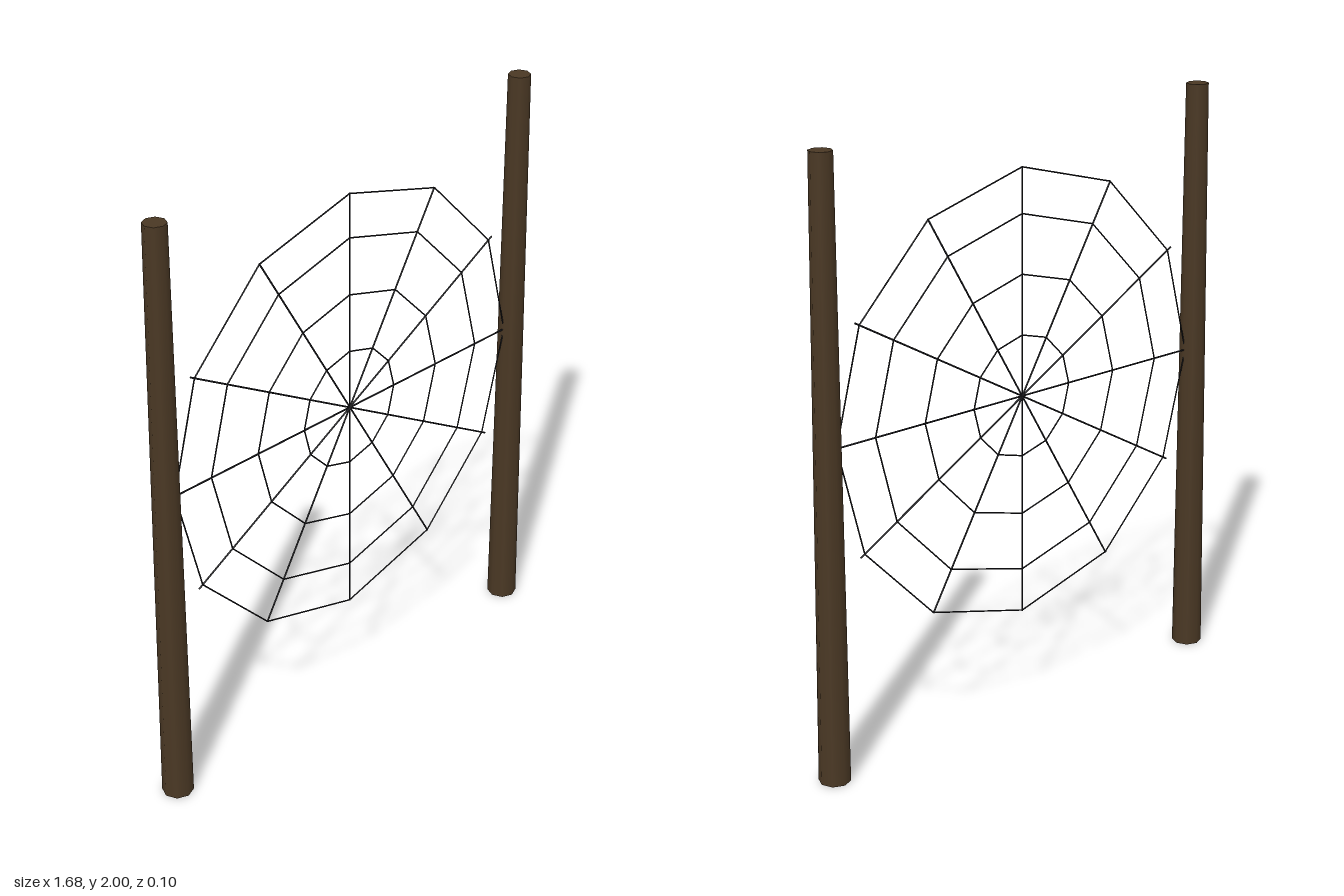
import * as THREE from 'three';

const UP = new THREE.Vector3(0, 1, 0);
const CENTRE_Y = 1.09;
const RINGS = [0.203, 0.402, 0.597, 0.745];

// Thin or thick round bar between two points
function bar(name, a, b, r0, r1, sides, material) {
  const dir = b.clone().sub(a);
  const mesh = new THREE.Mesh(new THREE.CylinderGeometry(r1, r0, dir.length(), sides), material);
  mesh.position.copy(a).add(b).multiplyScalar(0.5);
  mesh.quaternion.setFromUnitVectors(UP, dir.normalize());
  mesh.name = name;
  return mesh;
}

// Point on the web; the diagonal spokes lean slightly towards the horizontal
function webPoint(i, radius) {
  const deg = (i % 3 === 0 ? 0 : 0.6);
  const quadrantSide = Math.sign(Math.sin((i * Math.PI) / 3));
  const a = THREE.MathUtils.degToRad(i * 30 - deg * quadrantSide);
  return new THREE.Vector3(Math.cos(a) * radius, CENTRE_Y + Math.sin(a) * radius, 0);
}

export function createModel() {
  const model = new THREE.Group();
  model.name = 'webBetweenPosts';
  const wood = new THREE.MeshStandardMaterial({ color: 0x4a3824 });
  const silk = new THREE.MeshStandardMaterial({ color: 0x1c1c20 });

  // Tapered posts leaning slightly inwards
  for (const s of [-1, 1]) {
    model.add(bar(s > 0 ? 'leftPost' : 'rightPost',
      new THREE.Vector3(s * 0.789, 0, 0), new THREE.Vector3(s * 0.773, 2, 0),
      0.051, 0.037, 8, wood));
  }

  const web = new THREE.Group();
  web.name = 'web';
  const hub = new THREE.Vector3(0, CENTRE_Y, 0);
  for (let i = 0; i < 12; i++) {
    // Spokes, the shallow diagonals running just past the outer ring
    const shallow = [1, 5, 7, 11].includes(i);
    web.add(bar('spoke', hub, webPoint(i, shallow ? 0.763 : 0.747), 0.003, 0.003, 5, silk));
    // Straight ring threads from spoke to spoke
    for (const r of RINGS) {
      web.add(bar('ringThread', webPoint(i, r), webPoint((i + 1) % 12, r), 0.0025, 0.0025, 5, silk));
    }
  }
  model.add(web);
  return model;
}
